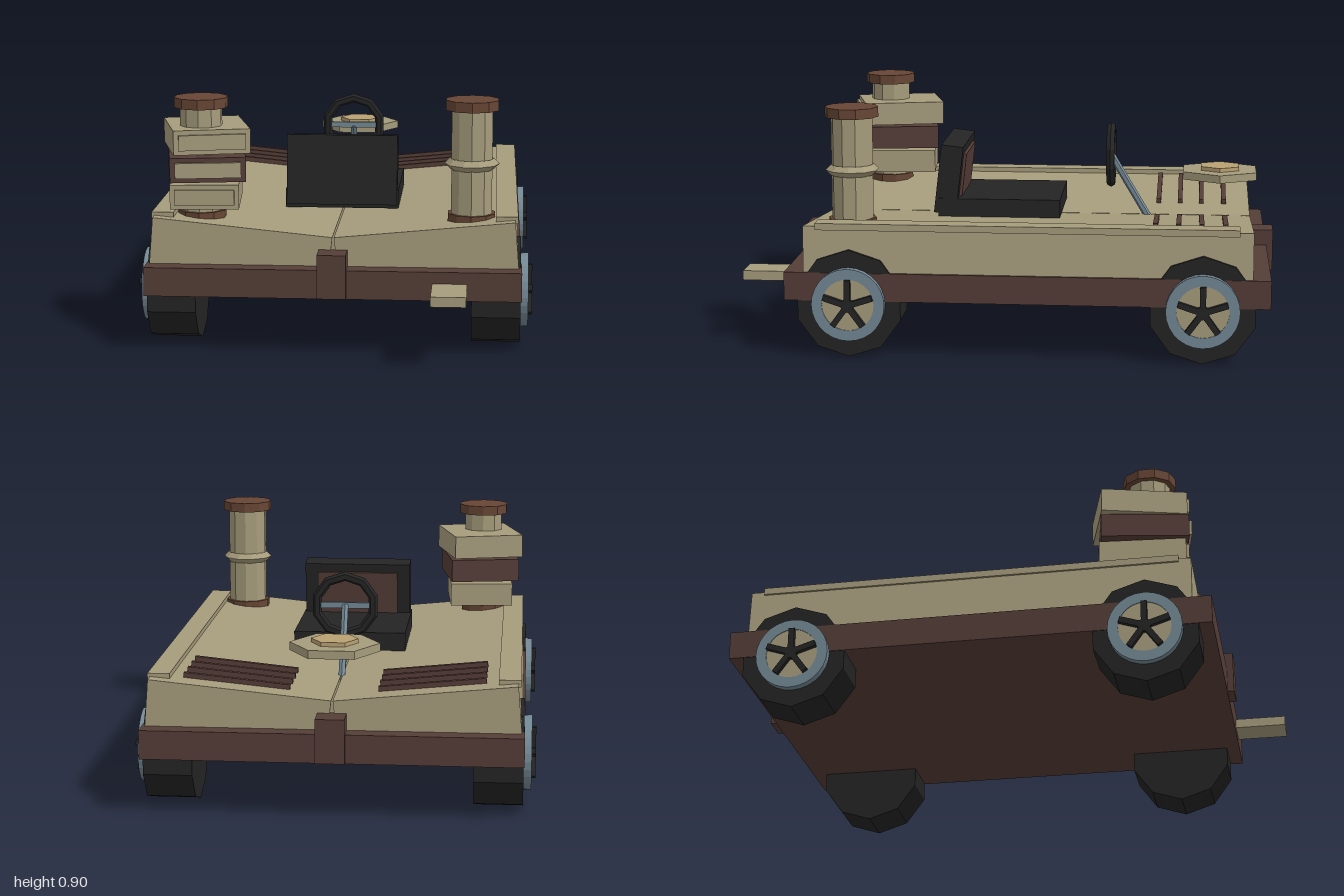
import * as THREE from 'three';

const paint = (name, color) => new THREE.MeshStandardMaterial({ name, color, flatShading: true });

export function createModel() {
  const tan = paint('tan', 0xa69c7c);
  const brown = paint('dark brown', 0x553d37);
  const rust = paint('rust brown', 0x674635);
  const black = paint('black', 0x242424);
  const steel = paint('steel blue', 0x748995);
  const gold = paint('pale gold', 0xb9a172);

  const model = new THREE.Group();
  model.name = 'bookCart';

  const add = (parent, name, geometry, material, x = 0, y = 0, z = 0) => {
    const mesh = new THREE.Mesh(geometry, material);
    mesh.name = name;
    mesh.position.set(x, y, z);
    parent.add(mesh);
    return mesh;
  };
  const box = (parent, name, material, w, h, d, x, y, z) =>
    add(parent, name, new THREE.BoxGeometry(w, h, d), material, x, y, z);
  const group = (name, x = 0, y = 0, z = 0) => {
    const g = new THREE.Group();
    g.name = name;
    g.position.set(x, y, z);
    model.add(g);
    return g;
  };

  // Chassis slab and its two end clasps
  box(model, 'chassis', brown, 1.36, 0.105, 1.78, 0, 0.262, -0.085);
  box(model, 'frontClasp', brown, 0.104, 0.16, 0.1, 0, 0.295, 0.78);
  box(model, 'rearClasp', brown, 0.104, 0.16, 0.1, 0, 0.295, -0.95);
  box(model, 'frontTag', tan, 0.125, 0.036, 0.21, 0.422, 0.254, 0.895);

  for (const s of [1, -1]) {
    const side = s > 0 ? 'left' : 'right';

    // Sloping half of the body, meeting its twin along a narrow seam
    const outline = new THREE.Shape(
      [[0.003, 0.42], [0.016, 0.3], [0.67, 0.3], [0.655, 0.484]].map(([x, y]) => new THREE.Vector2(s * x, y)));
    const half = new THREE.ExtrudeGeometry(outline, { depth: 1.645, bevelEnabled: false });
    add(model, side + 'BodyHalf', half, tan, 0, 0, -0.91);
    box(model, side + 'RimStrip', tan, 0.08, 0.025, 1.55, s * 0.625, 0.483, -0.085);

    // Rear deck slats
    for (const z of [-0.81, -0.722, -0.637, -0.552]) {
      const slat = box(model, side + 'DeckSlat', brown, 0.385, 0.024, 0.018, s * 0.35, 0.46, z);
      slat.rotation.z = s * 0.1;
    }

    // Column with base, collar and cap
    const column = group(side + 'Column', s * 0.495, 0, 0.575);
    const drum = (name, material, r, y0, y1) =>
      add(column, name, new THREE.CylinderGeometry(r, r, y1 - y0, 10), material, 0, (y0 + y1) / 2, 0);
    drum('columnBase', rust, 0.09, 0.44, 0.488);
    drum('columnShaft', tan, 0.078, 0.48, 0.875);
    drum('columnCap', rust, 0.1, 0.868, 0.905);
    const collar = add(column, 'columnCollar', new THREE.TorusGeometry(0.08, 0.02, 4, 10), tan, 0, 0.67, 0);
    collar.rotation.x = Math.PI / 2;

    // Wheels: local y runs outward along the axle
    for (const z of [0.565, -0.73]) {
      const wheel = group(side + (z > 0 ? 'Front' : 'Rear') + 'Wheel', 0, 0.2, z);
      wheel.rotation.z = -s * Math.PI / 2;
      add(wheel, 'tyre', new THREE.CylinderGeometry(0.2, 0.2, 0.177, 10).rotateY(Math.PI / 2), black, 0, 0.5885, 0);
      const ring = new THREE.Shape().absarc(0, 0, 0.135, 0, Math.PI * 2);
      ring.holes.push(new THREE.Path().absarc(0, 0, 0.096, 0, Math.PI * 2, true));
      const rim = new THREE.ExtrudeGeometry(ring, { depth: 0.03, bevelEnabled: false, curveSegments: 14 });
      add(wheel, 'wheelRim', rim.rotateX(-Math.PI / 2), steel, 0, 0.675, 0);
      add(wheel, 'wheelDisc', new THREE.CylinderGeometry(0.1, 0.1, 0.03, 14), tan, 0, 0.687, 0);
      add(wheel, 'wheelHub', new THREE.CylinderGeometry(0.025, 0.025, 0.02, 8), black, 0, 0.71, 0);
      for (let i = 0; i < 5; i++) {
        const spoke = new THREE.BoxGeometry(0.095, 0.02, 0.022).translate(-s * 0.0475, 0, 0);
        add(wheel, 'wheelSpoke', spoke, black, 0, 0.71, 0).rotation.y = i * Math.PI * 0.4;
      }
    }
  }

  // Twisted stack of books around the right column: w, d, y, turn, centre z, cover, label x
  const books = [
    [0.25, 0.32, 0.555, 0.08, 0.545, tan],
    [0.275, 0.325, 0.655, 0.17, 0.545, brown],
    [0.28, 0.32, 0.755, 0.26, 0.532, tan],
  ];
  for (const [w, d, y, turn, z, cover] of books) {
    const book = group('book', -0.482, y, z);
    book.rotation.y = turn;
    box(book, 'bookBlock', cover, w, 0.09, d, 0, 0, 0);
    box(book, 'bookLabel', tan, w * 0.87, 0.056, 0.014, 0, 0, d / 2 + 0.004);
  }

  // Seat facing the rear deck
  const seat = group('seat');
  box(seat, 'seatCushion', black, 0.43, 0.07, 0.47, 0, 0.475, 0.055);
  const back = group('seatBack', 0, 0.582, 0.25);
  back.rotation.x = -0.115;
  box(back, 'backrest', black, 0.42, 0.265, 0.085, 0, 0, 0);
  box(back, 'backrestPanel', brown, 0.32, 0.18, 0.016, 0, 0.01, -0.046);

  // Steering wheel on a slanted column
  const steering = group('steering', 0, 0.655, -0.367);
  add(steering, 'steeringWheel', new THREE.TorusGeometry(0.11, 0.018, 6, 10).rotateZ(Math.PI / 10), black);
  box(steering, 'steeringCrossbar', steel, 0.2, 0.022, 0.016, 0, 0, 0);
  const reach = new THREE.Vector3(0, -0.275, -0.165);
  const post = add(steering, 'steeringColumn', new THREE.CylinderGeometry(0.014, 0.014, reach.length(), 6), steel);
  post.position.copy(reach).multiplyScalar(0.5);
  post.quaternion.setFromUnitVectors(new THREE.Vector3(0, -1, 0), reach.clone().normalize());

  // Hexagonal plate hovering over the rear deck
  const hexagon = (name, material, r, h, y) =>
    add(model, name, new THREE.CylinderGeometry(r, r, h, 6).rotateY(Math.PI / 6), material, 0, y, -0.79);
  hexagon('hexPlate', tan, 0.162, 0.03, 0.59);
  hexagon('hexInset', gold, 0.085, 0.02, 0.61);

  return model;
}
